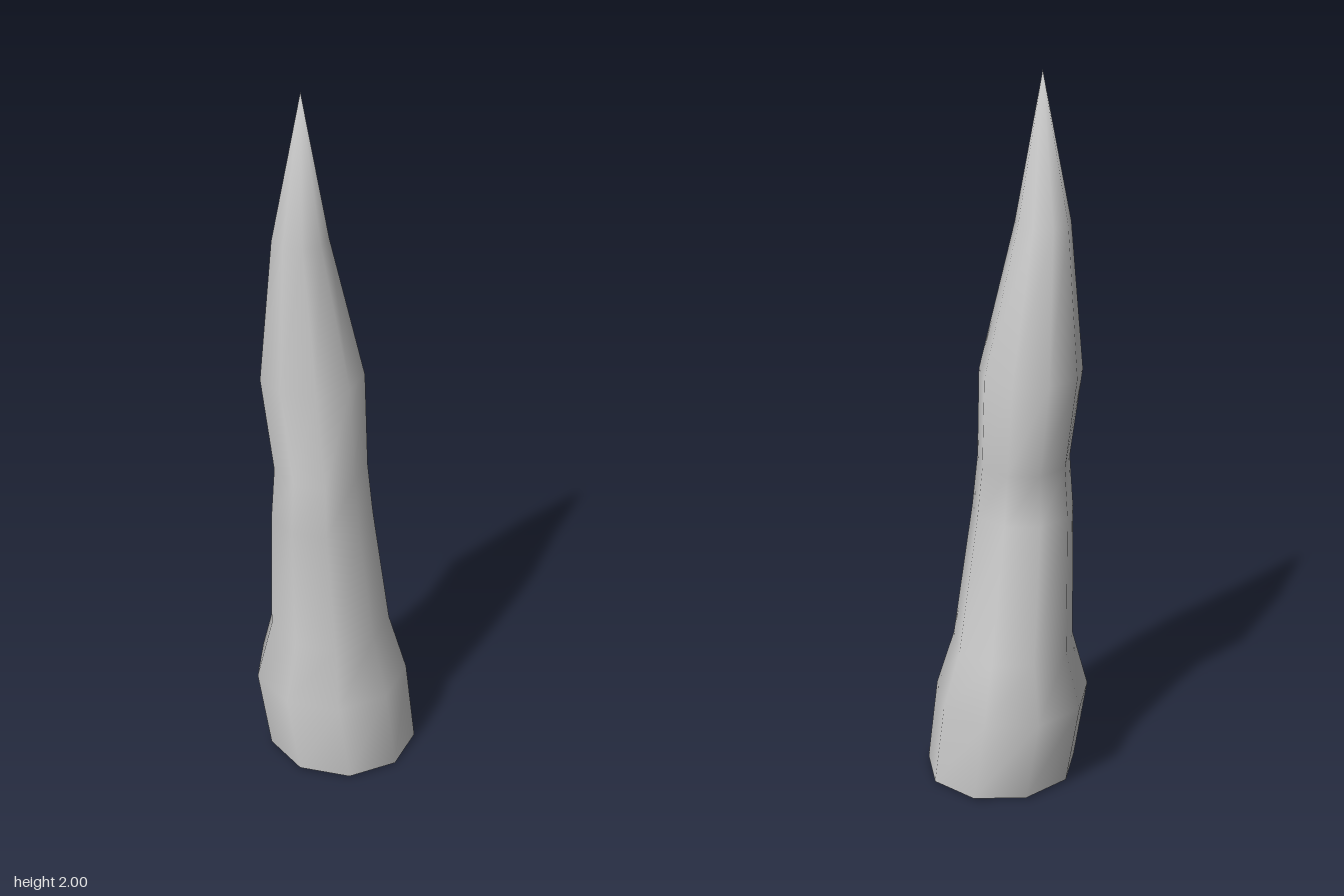
import * as THREE from 'three';

const SIDES = 9;
const TURN = THREE.MathUtils.degToRad(12);

// Cross-sections from the open base upward: y, x min, x max, z min, z max
const RINGS = [
  [0.005, -0.195, 0.228, -0.19, 0.215],
  [0.25, -0.23, 0.2, -0.212, 0.215],
  [0.42, -0.185, 0.15, -0.18, 0.165],
  [0.8, -0.183, 0.095, -0.105, 0.167],
  [0.95, -0.172, 0.08, -0.112, 0.16],
  [1.21, -0.202, 0.075, -0.13, 0.123],
  [1.61, -0.167, -0.02, -0.053, 0.085],
];
const TIP = [-0.09, 2, 0.03];

// Smooth skin through the rings, closed to a point at the tip
function spikeGeometry() {
  const positions = [];
  const index = [];
  const angles = Array.from({ length: SIDES }, (_, i) => TURN + (i / SIDES) * Math.PI * 2);
  const cos = angles.map(Math.cos);
  const sin = angles.map(Math.sin);
  const fit = (v, all, lo, hi) => {
    const min = Math.min(...all), max = Math.max(...all);
    return lo + ((v - min) / (max - min)) * (hi - lo);
  };
  for (const [y, x0, x1, z0, z1] of RINGS) {
    for (let i = 0; i < SIDES; i++) {
      positions.push(fit(cos[i], cos, x0, x1), y, fit(sin[i], sin, z0, z1));
    }
  }
  // Start the lower rim on the ground at one side
  for (let i = 0; i < SIDES; i++) positions[i * 3 + 1] = 0.005 + 0.005 * -cos[i];

  const tip = RINGS.length * SIDES;
  positions.push(...TIP);
  for (let r = 0; r < RINGS.length; r++) {
    for (let i = 0; i < SIDES; i++) {
      const a = r * SIDES + i;
      const b = r * SIDES + ((i + 1) % SIDES);
      if (r === RINGS.length - 1) index.push(a, tip, b);
      else index.push(a, a + SIDES, b, b, a + SIDES, b + SIDES);
    }
  }
  const geometry = new THREE.BufferGeometry();
  geometry.setAttribute('position', new THREE.Float32BufferAttribute(positions, 3));
  geometry.setIndex(index);
  geometry.computeVertexNormals();
  return geometry;
}

export function createModel() {
  const group = new THREE.Group();
  group.name = 'stalagmite';
  const material = new THREE.MeshStandardMaterial({ color: 0xcccccc, side: THREE.DoubleSide });
  const spike = new THREE.Mesh(spikeGeometry(), material);
  spike.name = 'spike';
  group.add(spike);
  return group;
}
